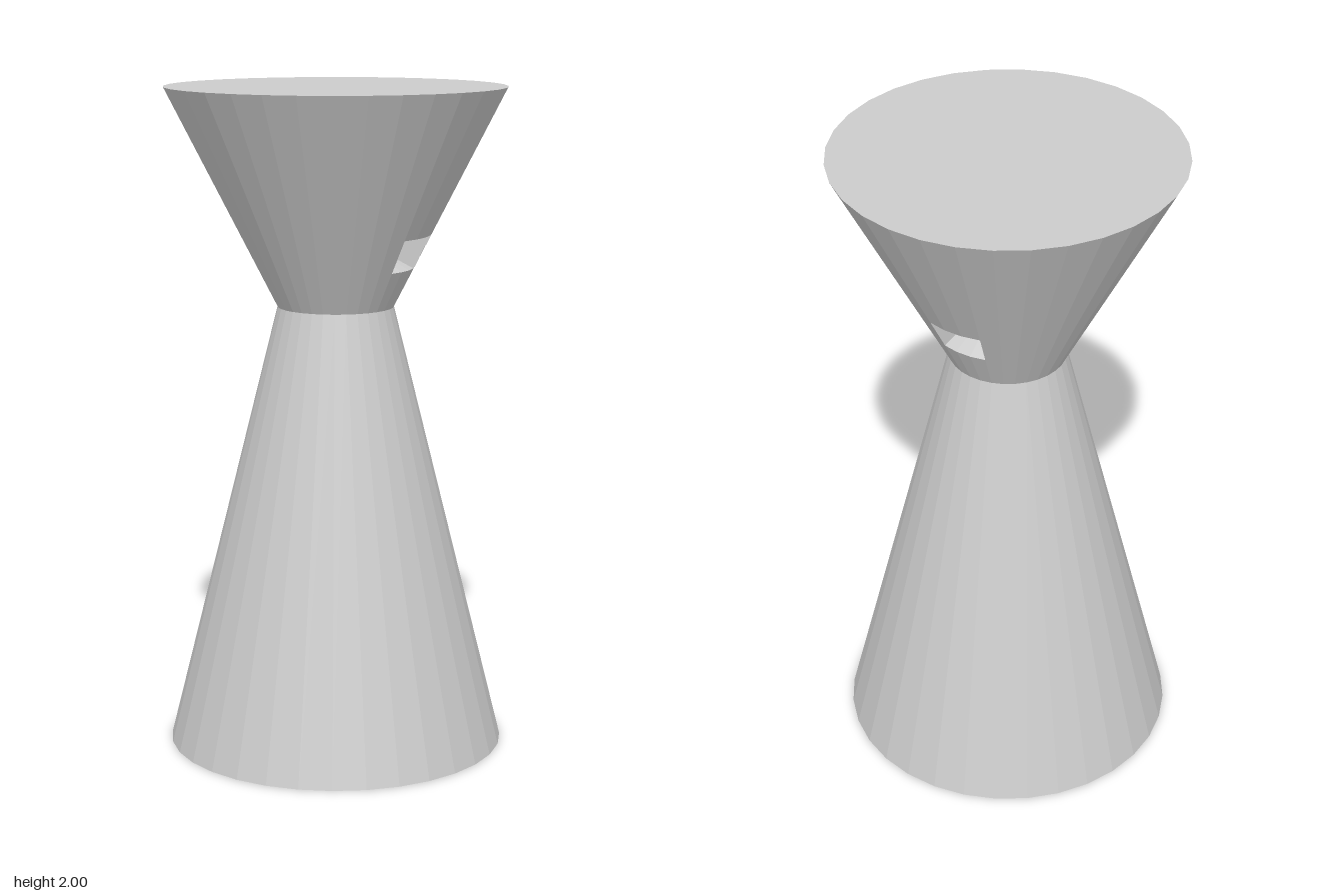
import * as THREE from 'three';

const SIDES = 32, RIM = 0.51, WAIST = 0.175, WAIST_Y = 1.345, TOP_Y = 2;
const SLOPE = (RIM - WAIST) / (TOP_Y - WAIST_Y);
const WIN_LOW = 1.465, WIN_HIGH = 1.565, DEPTH = 0.13;

// point on a side edge of the upper cone, pushed inward along the wall normal
function point(i, y, depth = 0) {
  const a = (i / SIDES) * Math.PI * 2, n = Math.hypot(1, SLOPE);
  const r = WAIST + (y - WAIST_Y) * SLOPE - depth / n;
  return [r * Math.cos(a), y + (depth * SLOPE) / n, r * Math.sin(a)];
}

function quadMesh(name, quads, material) {
  const pos = quads.flatMap(([a, b, c, d]) => [...a, ...b, ...c, ...a, ...c, ...d]);
  const geo = new THREE.BufferGeometry();
  geo.setAttribute('position', new THREE.Float32BufferAttribute(pos, 3));
  geo.computeVertexNormals();
  const mesh = new THREE.Mesh(geo, material);
  mesh.name = name;
  return mesh;
}

// recessed window spanning sides first .. last
function windowQuads(first, last) {
  const O = (i, y) => point(i, y), I = (i, y) => point(i, y, DEPTH);
  const lo = WIN_LOW, hi = WIN_HIGH, end = last + 1, quads = [];
  for (let i = first; i < end; i++) {
    const j = i + 1;
    quads.push([I(j, lo), I(i, lo), I(i, hi), I(j, hi)]); // back
    quads.push([O(j, lo), O(i, lo), I(i, lo), I(j, lo)]); // sill
    quads.push([I(j, hi), I(i, hi), O(i, hi), O(j, hi)]); // lintel
  }
  quads.push([I(first, lo), O(first, lo), O(first, hi), I(first, hi)]);
  quads.push([O(end, lo), I(end, lo), I(end, hi), O(end, hi)]);
  return quads;
}

export function createModel() {
  const model = new THREE.Group();
  model.name = 'hourglassTower';
  const grey = new THREE.MeshStandardMaterial({ color: 0xcccccc });
  grey.name = 'lightGrey';

  // tapering base
  const baseGeo = new THREE.CylinderGeometry(WAIST, RIM, WAIST_Y, SIDES).toNonIndexed();
  baseGeo.computeVertexNormals();
  const base = new THREE.Mesh(baseGeo, grey);
  base.name = 'base';
  base.position.y = WAIST_Y / 2;
  model.add(base);

  // flaring upper wall, left open where the windows are
  const windows = [[2, 4], [27, 29]];
  const levels = [WAIST_Y, WIN_LOW, WIN_HIGH, TOP_Y];
  const wall = [];
  for (let i = 0; i < SIDES; i++) {
    for (let k = 0; k < 3; k++) {
      if (k === 1 && windows.some(([a, b]) => i >= a && i <= b)) continue;
      const lo = levels[k], hi = levels[k + 1];
      wall.push([point(i + 1, lo), point(i, lo), point(i, hi), point(i + 1, hi)]);
    }
  }
  model.add(quadMesh('upperWall', wall, grey));

  windows.forEach(([a, b], n) =>
    model.add(quadMesh(n ? 'backWindow' : 'frontWindow', windowQuads(a, b), grey)));

  // flat roof
  const roof = new THREE.Mesh(new THREE.CircleGeometry(RIM, SIDES), grey);
  roof.name = 'roof';
  roof.rotation.x = -Math.PI / 2;
  roof.position.y = TOP_Y;
  model.add(roof);

  return model;
}
